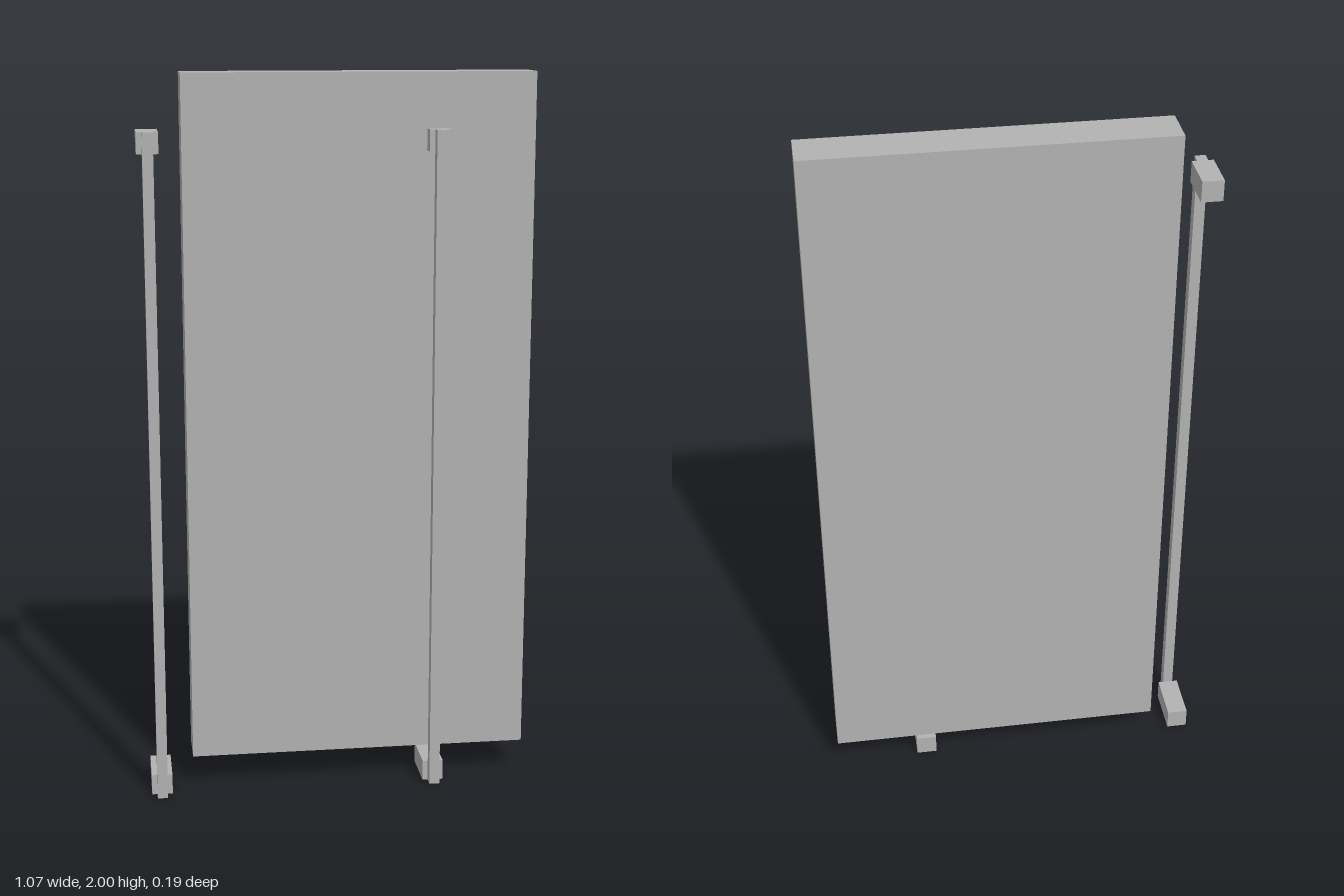
import * as THREE from 'three';

export function createModel() {
  const model = new THREE.Group();
  const grey = new THREE.MeshStandardMaterial({ color: 0xb2b2b2 });
  grey.name = 'grey';

  // Box given by its min and max corners
  function block(name, parent, [x0, y0, z0], [x1, y1, z1]) {
    const mesh = new THREE.Mesh(new THREE.BoxGeometry(x1 - x0, y1 - y0, z1 - z0), grey);
    mesh.name = name;
    mesh.position.set((x0 + x1) / 2, (y0 + y1) / 2, (z0 + z1) / 2);
    parent.add(mesh);
  }

  // Sliding panel
  block('panel', model, [-0.418, 0.091, -0.096], [0.534, 2, 0.022]);

  // Two upright rails, each carried by a short top and a longer bottom bracket
  const half = 0.029;
  for (const [name, x] of [['rightRail', -0.508], ['leftRail', 0.267]]) {
    const rail = new THREE.Group();
    rail.name = name;
    rail.position.x = x;
    block('bar', rail, [-half / 2, 0, 0.062], [half / 2, 1.851, 0.092]);
    block('topBracket', rail, [-half, 1.793, -0.056], [half, 1.851, 0.062]);
    block('bottomBracket', rail, [-half, 0, -0.077], [half, 0.058, 0.062]);
    model.add(rail);
  }
  return model;
}
